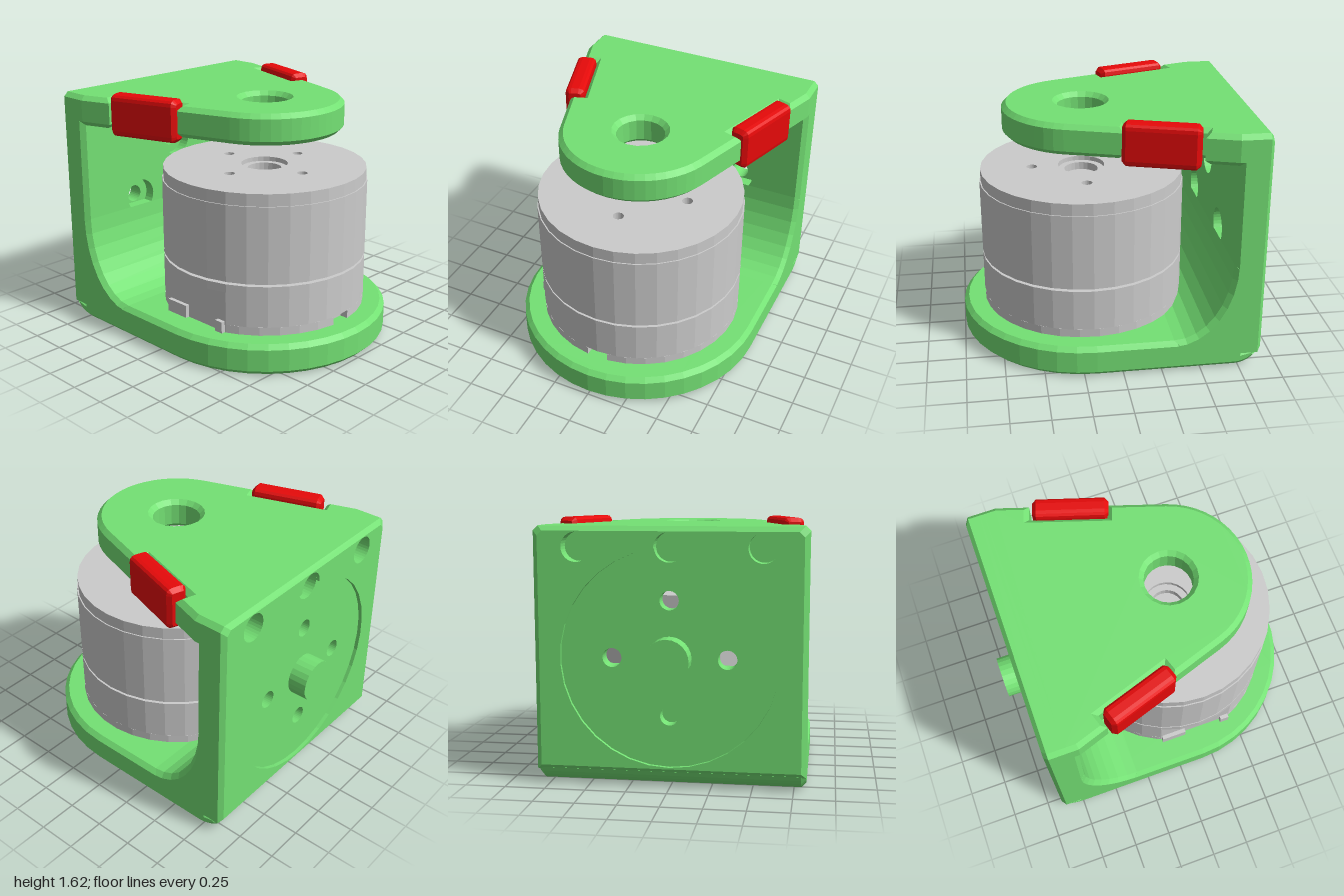
import * as THREE from 'three';

const green = new THREE.MeshStandardMaterial({ color: 0x74e174, flatShading: true, side: THREE.DoubleSide });
const grey = new THREE.MeshStandardMaterial({ color: 0xcccccc, flatShading: true });
const red = new THREE.MeshStandardMaterial({ color: 0xe60a0a, flatShading: true });
const CX = 0.17; // motor axis
const BY = 0.795; // boss height
const CH = 0.03; // chamfer

const points = (list) => new THREE.Shape(list.map(([x, y]) => new THREE.Vector2(x, y)));
const hole = (x, y, r) => new THREE.Path().absarc(x, y, r, 0, Math.PI * 2, true);
const ring4 = (cx, cy, d, r, turn = 0) => [0, 1, 2, 3].map((i) => {
  const a = turn + i * Math.PI / 2;
  return hole(cx + d * Math.cos(a), cy + d * Math.sin(a), r);
});

// extrude along +z with a chamfer that stays inside the outline
function slab(shape, depth, bevel = 0, holes = [], curveSegments = 12) {
  shape.holes.push(...holes);
  const g = new THREE.ExtrudeGeometry(shape, {
    depth: depth - 2 * bevel, curveSegments, bevelEnabled: bevel > 0, bevelSegments: 1,
    bevelThickness: bevel, bevelSize: bevel, bevelOffset: -bevel,
  });
  return g.translate(0, 0, bevel);
}
const upright = (g, y) => g.rotateX(-Math.PI / 2).translate(0, y, 0);
const sideways = (g, x) => g.rotateY(Math.PI / 2).translate(x, 0, 0);

function add(parent, name, geometry, material) {
  const m = new THREE.Mesh(geometry, material);
  m.name = name;
  parent.add(m);
  return m;
}

// outline of the back wall, with cut top corners
function wallLoop(inset) {
  const w = 0.825 - inset, b = 0.09 + inset, t = 1.585 - inset;
  return [[-w, b], [w, b], [w, t - CH], [w - CH, t], [CH - w, t], [-w, t - CH]];
}

// sloped strip between two loops
function strip(loopA, xA, loopB, xB) {
  const pos = [];
  loopA.forEach((a, i) => {
    const j = (i + 1) % loopA.length;
    const p = [xA, a[1], -a[0]], q = [xA, loopA[j][1], -loopA[j][0]];
    const r = [xB, loopB[j][1], -loopB[j][0]], s = [xB, loopB[i][1], -loopB[i][0]];
    pos.push(...p, ...s, ...r, ...p, ...r, ...q);
  });
  const g = new THREE.BufferGeometry();
  g.setAttribute('position', new THREE.Float32BufferAttribute(pos, 3));
  g.computeVertexNormals();
  return g;
}

function buildWall(frame) {
  const R = 0.665, r = 0.09, d = 2 * Math.asin(r / (2 * R));
  const sidePockets = () => [hole(-0.56, 1.46, r), hole(0.56, 1.46, r)];
  const layer = (name, x0, x1, inset, holes) =>
    add(frame, name, sideways(slab(points(wallLoop(inset)), x1 - x0, 0, holes, 16), x0), green);

  // round recess joined with the middle screw pocket
  const recess = new THREE.Path();
  recess.absarc(0, BY, R, Math.PI / 2 + d, Math.PI * 2.5 - d, false);
  recess.absarc(0, BY + R, r, -d / 2, Math.PI + d / 2, false);
  layer('wallRecessLayer', -0.9, -0.875, CH, [recess, ...sidePockets()]);
  layer('wallCore', -0.875, -0.8, 0,
    [...ring4(0, BY, 0.35, 0.058), hole(0, BY + R, r), ...sidePockets()]);
  layer('wallMiddle', -0.8, -0.77, 0, ring4(0, BY, 0.35, 0.058));
  layer('wallInner', -0.77, -0.725, 0, ring4(0, BY, 0.35, 0.115));
  layer('wallInnerFace', -0.725, -0.695, CH, ring4(0, BY, 0.35, 0.115));
  add(frame, 'wallBackChamfer', strip(wallLoop(CH), -0.9, wallLoop(0), -0.875), green);
  add(frame, 'wallInnerChamfer', strip(wallLoop(0), -0.725, wallLoop(CH), -0.695), green);

  const boss = new THREE.CylinderGeometry(0.135, 0.135, 0.14, 24).rotateZ(Math.PI / 2);
  add(frame, 'pivotBoss', boss.translate(-0.93, BY, 0), green);
}

function buildFrame() {
  const frame = new THREE.Group();
  frame.name = 'frame';
  buildWall(frame);

  // rounded lower corner with the inner fillet
  const s = new THREE.Shape();
  s.moveTo(-0.73, 0).lineTo(-0.33, 0).lineTo(-0.33, 0.205);
  for (let i = 1; i <= 8; i++) {
    const a = i / 8 * Math.PI / 2;
    s.lineTo(-0.33 - 0.365 * Math.sin(a), 0.73 - 0.525 * Math.cos(a));
  }
  s.lineTo(-0.79, 0.73).lineTo(-0.79, 0.1);
  for (let i = 0; i < 6; i++) {
    const a = 0.424 + i / 6 * (Math.PI / 2 - 0.424);
    s.lineTo(-0.73 - 0.17 * Math.cos(a), 0.17 - 0.17 * Math.sin(a));
  }
  add(frame, 'cornerFillet', slab(s, 1.65, CH).translate(0, 0, -0.825), green);

  // base plate with mounting holes
  const base = new THREE.Shape();
  base.moveTo(-0.73, -0.825).lineTo(CX, -0.825);
  base.absarc(CX, 0, 0.825, -Math.PI / 2, Math.PI / 2, false);
  base.lineTo(-0.73, 0.825);
  const mounts = ring4(CX, 0, 0.49, 0.07, Math.PI / 4);
  add(frame, 'basePlate', upright(slab(base, 0.205, CH, mounts, 10), 0), green);

  // tapered top arm with edge notches for the pads
  const slope = 0.318, nx = Math.sin(slope), ny = Math.cos(slope), depth = 0.09;
  const edge = (x) => 0.825 - Math.tan(slope) * (x + 0.69);
  const side = [[-0.8, 0.825], [-0.69, 0.825], [-0.49, edge(-0.49)],
    [-0.49 - nx * depth, edge(-0.49) - ny * depth],
    [-0.02 - nx * depth, edge(-0.02) - ny * depth], [-0.02, edge(-0.02)]];
  const arm = points(side.map(([x, y]) => [x, -y]));
  arm.absarc(CX, 0, 0.515, slope - Math.PI / 2, Math.PI / 2 - slope, false);
  side.slice().reverse().forEach(([x, y]) => arm.lineTo(x, y));
  add(frame, 'topArm', upright(slab(arm, 0.2, CH, [hole(CX, 0, 0.155)], 10), 1.385), green);
  return frame;
}

function buildMotor() {
  const motor = new THREE.Group();
  motor.name = 'motor';
  motor.position.x = CX;

  // round outline, optionally with a flat front and a small slot at +x
  const disc = (r, flat = r, slot = 0) => {
    const list = [];
    const start = slot ? Math.asin(slot / r) : 0;
    const n = 32;
    const f = Math.asin(Math.min(1, flat / r));
    const angles = [-Math.PI / 2 - (Math.PI / 2 - f), -f];
    for (let i = 0; i <= n; i++) {
      const a = start + i / n * (Math.PI * 2 - 2 * start);
      if (i < n || slot) angles.push(a > Math.PI ? a - Math.PI * 2 : a);
    }
    const pos = angles.map((a) => (a < 0 ? a + Math.PI * 2 : a)).sort((a, b) => a - b);
    pos.forEach((a, i) => {
      if (i && a - pos[i - 1] < 1e-4) return;
      list.push([r * Math.cos(a), Math.max(-flat, r * Math.sin(a))]);
    });
    if (slot) list.push([r - 0.06, -slot], [r - 0.06, slot]);
    return points(list);
  };
  const layer = (name, shape, y0, y1, holes = []) =>
    add(motor, name, upright(slab(shape, y1 - y0, 0, holes), y0), grey);

  layer('statorFoot', disc(0.68, 0.63, 0.07), 0.19, 0.26);
  layer('statorLower', disc(0.68, 0.63), 0.26, 0.48);
  layer('statorUpper', disc(0.68), 0.48, 0.535);
  layer('bearingGap', disc(0.645), 0.535, 0.552);
  layer('rotorBell', disc(0.68), 0.552, 1.055);
  layer('rotorCap', disc(0.672), 1.055, 1.135,
    [hole(0, 0, 0.155), ...ring4(0, 0, 0.33, 0.035)]);
  const collar = disc(0.16);
  layer('boreCollar', collar, 1.05, 1.105, [hole(0, 0, 0.112)]);

  // connector tabs in the flat opening
  for (const [x0, x1, y1] of [[-0.25, -0.08, 0.29], [0.19, 0.25, 0.28]]) {
    const g = new THREE.BoxGeometry(x1 - x0, y1 - 0.2, 0.05);
    add(motor, 'connectorTab', g.translate((x0 + x1) / 2, (y1 + 0.2) / 2, 0.632), grey);
  }
  return motor;
}

// red pad clamped over each sloping edge of the arm
function buildPad(s) {
  const w = 0.065, h = 0.137, c = 0.04;
  const profile = new THREE.Shape();
  profile.moveTo(-w + c, -h).lineTo(w - c, -h).quadraticCurveTo(w, -h, w, -h + c);
  profile.lineTo(w, h - c).quadraticCurveTo(w, h, w - c, h);
  profile.lineTo(-w + c, h).quadraticCurveTo(-w, h, -w, h - c);
  profile.lineTo(-w, -h + c).quadraticCurveTo(-w, -h, -w + c, -h);
  const g = slab(profile, 0.48, 0.025, [], 3).translate(0, 0, -0.24);
  const pad = new THREE.Mesh(g, red);
  pad.name = s > 0 ? 'frontPad' : 'backPad';
  pad.rotation.y = Math.PI / 2 + s * 0.31;
  pad.position.set(-0.25, 1.487, s * 0.648);
  return pad;
}

export function createModel() {
  const model = new THREE.Group();
  model.name = 'motorBracket';
  model.add(buildFrame(), buildMotor(), buildPad(1), buildPad(-1));
  return model;
}
